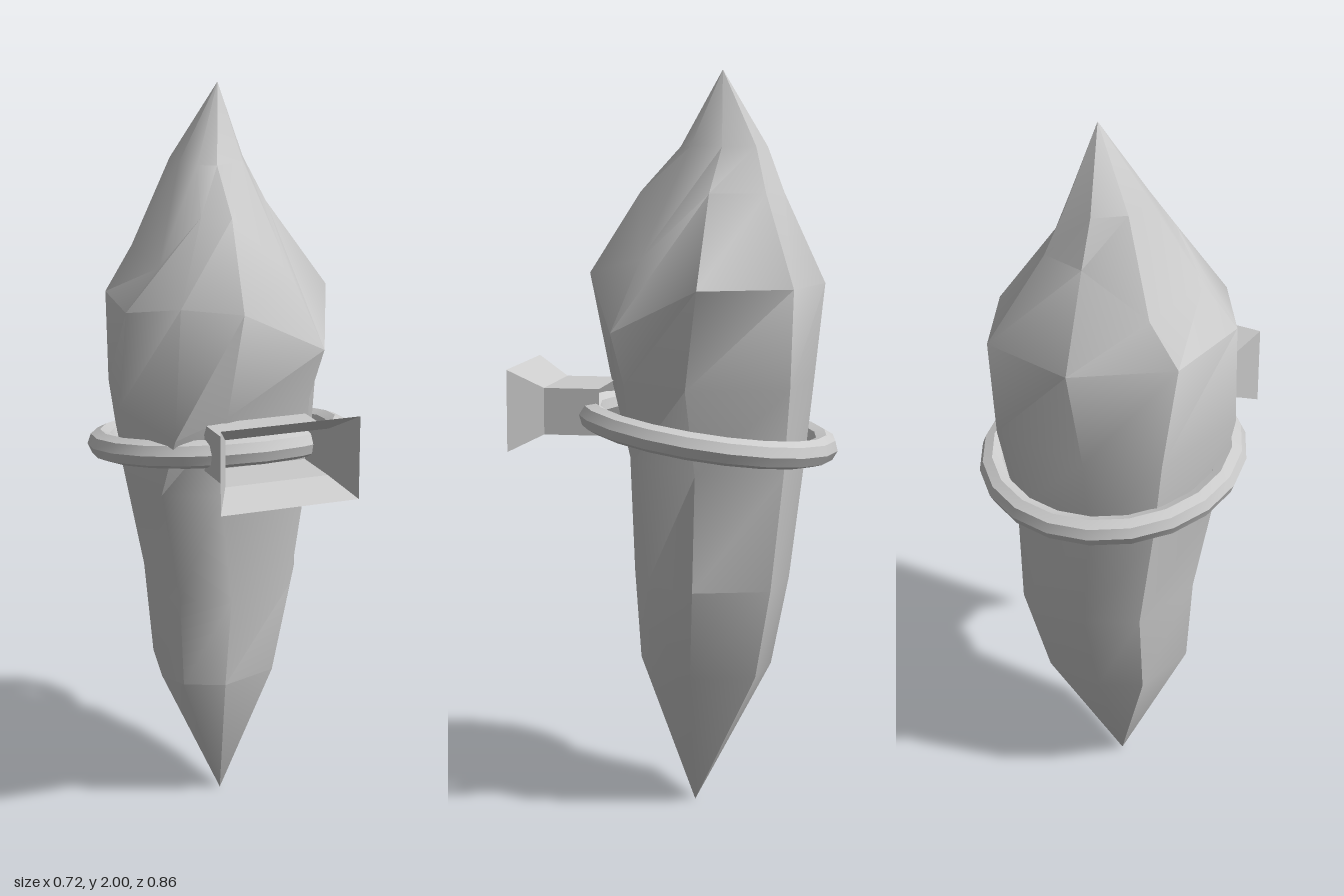
import * as THREE from 'three';
import { toCreasedNormals } from 'three/addons/utils/BufferGeometryUtils.js';

const grey = new THREE.MeshStandardMaterial({ color: 0xcccccc });
const greyThin = new THREE.MeshStandardMaterial({ color: 0xcccccc, side: THREE.DoubleSide });

// Skin a stack of closed cross-sections (each a list of [x, y, z])
function loft(rings, crease) {
  const pos = [];
  const n = rings[0].length;
  const same = (p, q) => p.every((v, k) => v === q[k]);
  const tri = (a, b, c) => {
    if (!same(a, b) && !same(b, c) && !same(a, c)) pos.push(...a, ...b, ...c);
  };
  for (let i = 0; i < rings.length - 1; i++) {
    for (let j = 0; j < n; j++) {
      const k = (j + 1) % n;
      const a = rings[i][j], b = rings[i][k], c = rings[i + 1][k], d = rings[i + 1][j];
      tri(a, d, b);
      tri(b, d, c);
    }
  }
  const geo = new THREE.BufferGeometry();
  geo.setAttribute('position', new THREE.Float32BufferAttribute(pos, 3));
  geo.computeVertexNormals();
  return toCreasedNormals(geo, crease);
}

function crystalGeometry() {
  // Irregular outlines on a unit square, from the back round by +x
  const lower = [[-0.17, -1], [0.75, -0.88], [1, 0.05], [0.68, 0.68],
    [-0.22, 1], [-0.8, 0.75], [-1, 0.33], [-0.78, -0.7]];
  const upper = [[-0.17, -1], [0.66, -0.83], [1, -0.1], [0.65, 0.66],
    [-0.22, 1], [-0.68, 0.78], [-1, 0.33], [-0.9, -0.5]];
  // Each level: y, min x, max x, min z, max z
  const levels = [
    [0, -0.01, -0.01, -0.045, -0.045],
    [0.39, -0.195, 0.165, -0.25, 0.115],
    [0.64, -0.215, 0.228, -0.3, 0.13],
    [0.95, -0.275, 0.225, -0.335, 0.15],
    [1.18, -0.315, 0.28, -0.36, 0.205],
    [1.44, -0.3, 0.325, -0.39, 0.255],
    [1.68, -0.15, 0.148, -0.28, 0.11],
    [1.8, -0.11, 0.09, -0.235, 0],
    [2, 0.015, 0.015, -0.12, -0.12],
  ];
  const rings = levels.map(([y, x0, x1, z0, z1], i) => (i < 5 ? lower : upper).map(([u, v]) => [
    (x0 + x1) / 2 + u * (x1 - x0) / 2, y, (z0 + z1) / 2 + v * (z1 - z0) / 2]));
  // Bulging shard at the front, and the edge of the shoulder
  rings[4][5] = [-0.225, 1.13, 0.2];
  rings[3][3] = [0.195, 0.98, 0.09];
  rings[5][3] = [0.215, 1.32, 0.145];
  rings[5][4][1] = 1.46;
  rings[5][5] = [-0.2, 1.47, 0.18];
  // Dent above the chipped corner, and two low bends in the tip
  rings[6][3] = [0.15, 1.51, 0.075];
  rings[6][6] = [-0.205, 1.55, 0.03];
  rings[6][7] = [-0.19, 1.56, -0.235];
  return loft(rings, 0.75);
}

// Rectangular sleeve whose mouth flares toward the front
function socketGeometry() {
  const sections = [[0.19, 0.142, 1.04, 1.165], [0.34, 0.142, 1.04, 1.165], [0.43, 0.189, 0.997, 1.217]];
  const rings = sections.map(([z, w, y0, y1]) =>
    [[-w, y0, z], [-w, y1, z], [w, y1, z], [w, y0, z]]);
  return loft(rings, 0.1);
}

export function createModel() {
  const model = new THREE.Group();
  model.name = 'ringedCrystal';

  const crystal = new THREE.Mesh(crystalGeometry(), grey);
  crystal.name = 'crystal';

  // Band around the crystal, tipped down at the back
  const band = new THREE.Mesh(
    toCreasedNormals(new THREE.TorusGeometry(0.322, 0.037, 8, 20), 0.5), grey);
  band.name = 'band';
  band.rotation.x = Math.PI / 2 - 0.15;
  band.position.set(0, 1.047, -0.077);

  const socket = new THREE.Mesh(socketGeometry(), greyThin);
  socket.name = 'flaredSocket';

  model.add(crystal, band, socket);
  return model;
}
